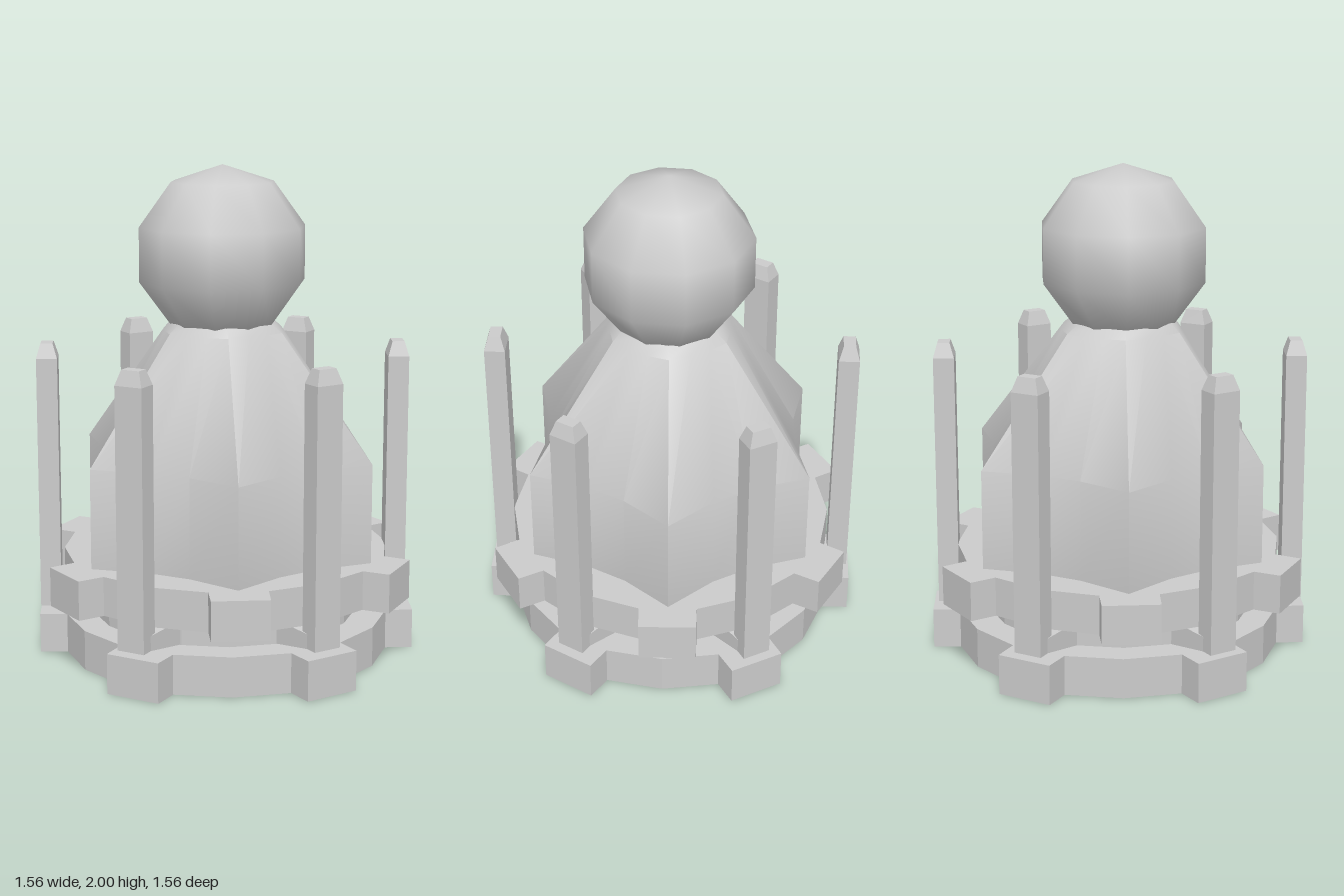
import * as THREE from 'three';
import { toCreasedNormals } from 'three/addons/utils/BufferGeometryUtils.js';

const rad = THREE.MathUtils.degToRad;
const UPPER = 17.8, LOWER = -10.2; // direction of the first tooth on each plate
const smooth = new THREE.MeshStandardMaterial({ color: 0xcccccc });
const flat = new THREE.MeshStandardMaterial({ color: 0xcccccc, flatShading: true });

function mesh(name, geometry, material) {
  const m = new THREE.Mesh(geometry, material);
  m.name = name;
  return m;
}

// Eighteen-sided plate with every third side pulled out into a tooth
function toothedPlate(name, start, y, height) {
  const points = [];
  const add = (r, deg) => points.push(new THREE.Vector2(r * Math.cos(rad(deg)), r * Math.sin(rad(deg))));
  for (let k = 0; k < 6; k++) {
    const c = start + 60 * k;
    add(0.67, c - 10);
    add(0.78, c - 8.4);
    add(0.78, c + 8.4);
    add(0.67, c + 10);
    add(0.67, c + 30);
  }
  const g = new THREE.ExtrudeGeometry(new THREE.Shape(points), { depth: height, bevelEnabled: false });
  g.rotateX(Math.PI / 2).translate(0, y + height, 0);
  return mesh(name, g, flat);
}

// Six-pointed body: rings of [y, point radius, valley radius, x shift, z shift]
function bodyGeometry(rings) {
  const n = 18, pos = [], index = [];
  for (const [y, tip, valley, dx, dz] of rings) {
    for (let i = 0; i < n; i++) {
      const a = rad(UPPER + 20 * i), r = i % 3 === 0 ? tip : valley;
      pos.push(r * Math.cos(a) + dx, y, r * Math.sin(a) + dz);
    }
  }
  for (let j = 0; j < rings.length - 1; j++) {
    for (let i = 0; i < n; i++) {
      const a = j * n + i, b = j * n + (i + 1) % n;
      index.push(a, a + n, b, b, a + n, b + n);
    }
  }
  const g = new THREE.BufferGeometry();
  g.setAttribute('position', new THREE.Float32BufferAttribute(pos, 3));
  g.setIndex(index);
  return toCreasedNormals(g, rad(32));
}

// Box whose vertices are reshaped by a rule
function shapedBox(w, h, d, rule) {
  const g = new THREE.BoxGeometry(w, h, d, 1, 2, 1);
  const p = g.attributes.position, v = new THREE.Vector3();
  for (let i = 0; i < p.count; i++) {
    rule(v.fromBufferAttribute(p, i));
    p.setXYZ(i, v.x, v.y, v.z);
  }
  return g;
}

export function createModel() {
  const model = new THREE.Group();
  model.name = 'toothedTower';

  // Two toothed plates with a narrower core between them
  model.add(toothedPlate('lowerPlate', LOWER, 0, 0.163));
  model.add(toothedPlate('upperPlate', UPPER, 0.263, 0.16));
  const core = mesh('core', new THREE.CylinderGeometry(0.55, 0.55, 0.1, 18, 1, true), flat);
  core.position.set(-0.006, 0.213, 0.003);
  core.rotation.y = Math.PI / 2 - rad(LOWER + 10);
  model.add(core);

  // Body: straight skirt, then a taper to the neck
  const body = bodyGeometry([
    [0.42, 0.648, 0.52, 0, -0.002],
    [0.83, 0.648, 0.52, 0, -0.002],
    [1.335, 0.26, 0.245, -0.008, 0.01],
    [1.37, 0.215, 0.21, -0.01, 0.016],
  ]);
  model.add(mesh('body', body, smooth));

  // Ball on top
  const ball = mesh('ball', new THREE.SphereGeometry(0.357, 10, 5), smooth);
  ball.position.set(-0.011, 1.643, 0.017);
  ball.rotation.y = Math.PI / 2;
  model.add(ball);

  // Post with a chamfered tip, and the arm narrowing out to it
  const postGeo = shapedBox(0.085, 1.1, 0.117, (v) => {
    if (v.y > 0.5) { v.x *= 0.58; v.z *= 0.66; }
    else if (v.y > -0.1) v.y = 0.49;
  });
  postGeo.translate(0.715, 0.733, 0);
  const armGeo = shapedBox(0.17, 0.1, 0.19, (v) => {
    if (v.x > 0) { v.y *= 0.6; v.z *= 0.615; }
  });
  armGeo.translate(0.62, 0.213, 0);
  for (let k = 0; k < 6; k++) {
    const support = new THREE.Group();
    support.name = 'postAndArm' + (k + 1);
    support.add(mesh('post', postGeo, flat), mesh('arm', armGeo, flat));
    support.position.set(-0.012, 0, 0.004);
    support.rotation.y = -rad(LOWER + 60 * k);
    model.add(support);
  }
  return model;
}
